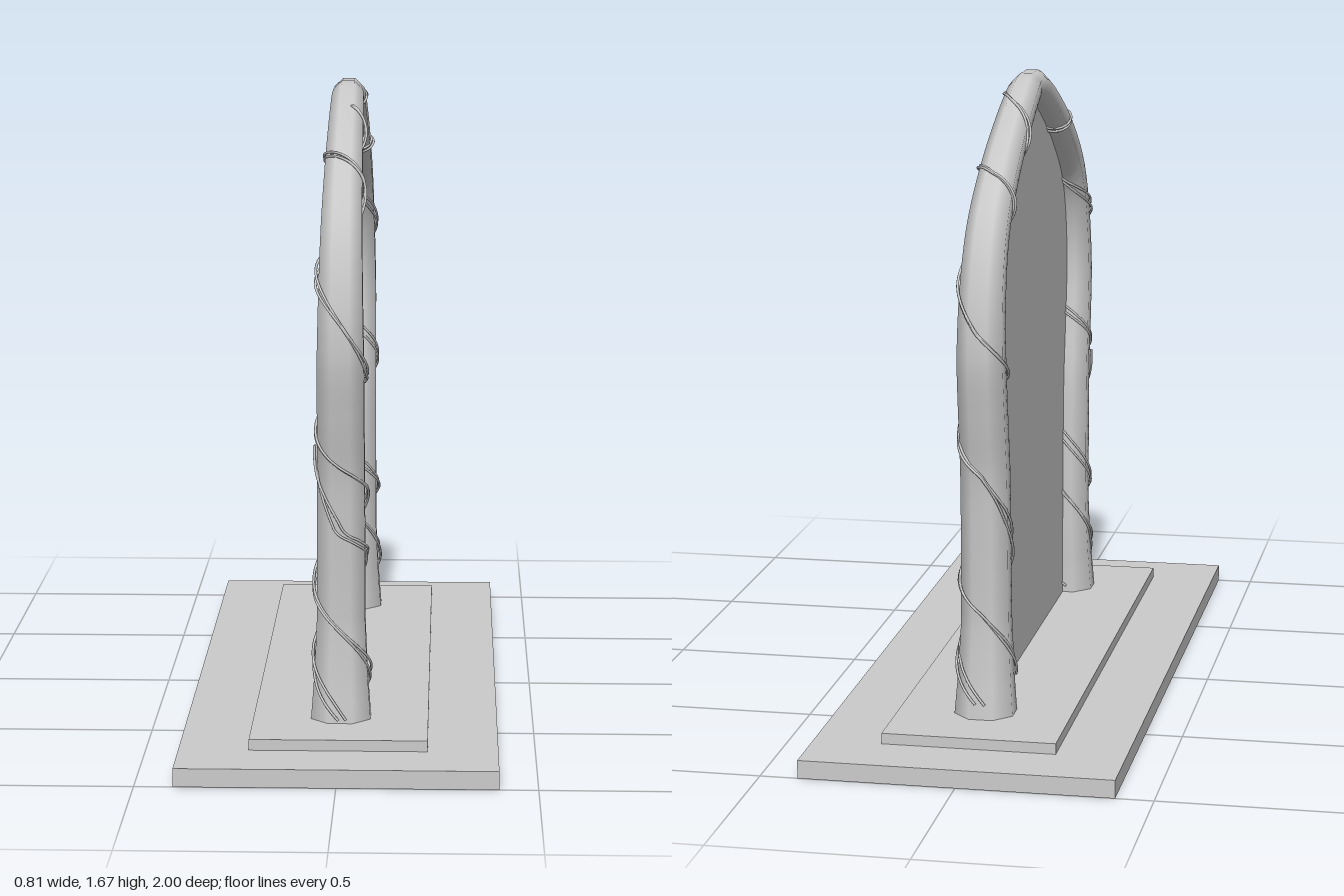
import * as THREE from 'three';
import { ParametricGeometry } from 'three/addons/geometries/ParametricGeometry.js';

const material = new THREE.MeshStandardMaterial({ color: 0xcccccc });
const thin = new THREE.MeshStandardMaterial({ color: 0xcccccc, side: THREE.DoubleSide });
const X = new THREE.Vector3(1, 0, 0);
const FOOT = 0.608; // distance of each pole foot from the middle
const SIDES = 8;

// Centre line of one arm as [z, y], foot to apex
const arm = [[FOOT, 0.07], [0.595, 0.3], [0.598, 0.55], [0.607, 0.72], [0.632, 0.87], [0.652, 1.02],
  [0.641, 1.15], [0.6, 1.27], [0.54, 1.355], [0.39, 1.468], [0.2, 1.568], [0.06, 1.624], [0, 1.633]];
const mirrored = arm.slice(0, -1).reverse().map(([z, y]) => [-z, y]);
const path = new THREE.CatmullRomCurve3(
  [...arm, ...mirrored].map(([z, y]) => new THREE.Vector3(0, y, z)));
const LENGTH = path.getLength();

// Straight-line interpolation through [key, value] pairs
function lerpTable(table, s) {
  let i = 1;
  while (i < table.length - 1 && s > table[i][0]) i++;
  const [a, va] = table[i - 1], [b, vb] = table[i];
  return va + (vb - va) * (s - a) / (b - a);
}

// Pole radius by distance from the foot
const radii = [[0, 0.083], [0.1, 0.075], [0.25, 0.067], [0.95, 0.064], [1.35, 0.055], [1.75, 0.048], [1.88, 0.045], [LENGTH / 2, 0.038]];
const radiusAt = u => lerpTable(radii, Math.min(u, 1 - u) * LENGTH);

// Point around the arch: u along it, angle from +x towards the outside
function aroundArch(u, angle, lift, target) {
  const n = new THREE.Vector3().crossVectors(X, path.getTangentAt(u));
  const r = radiusAt(u) + lift;
  return target.copy(path.getPointAt(u))
    .addScaledVector(X, r * Math.cos(angle)).addScaledVector(n, r * Math.sin(angle));
}

const rectangle = (w, d) => [[-w, -d], [w, -d], [w, d], [-w, d]].map(([x, y]) => new THREE.Vector2(x / 2, y / 2));

// Tray open below: a flat top with holes, and four thin walls
function tray(name, w, d, bottom, top, holes) {
  const group = new THREE.Group();
  group.name = name;
  const shape = new THREE.Shape(rectangle(w, d));
  shape.holes.push(...holes);
  const lid = new THREE.Mesh(new THREE.ShapeGeometry(shape), thin);
  lid.rotation.x = -Math.PI / 2;
  lid.position.y = top;
  group.add(lid);
  for (let i = 0; i < 4; i++) {
    const [length, reach] = i % 2 ? [d, w / 2] : [w, d / 2];
    const wall = new THREE.Mesh(new THREE.PlaneGeometry(length, top - bottom), thin);
    wall.rotation.y = i * Math.PI / 2;
    wall.position.set(Math.sin(wall.rotation.y) * reach, (top + bottom) / 2, Math.cos(wall.rotation.y) * reach);
    group.add(wall);
  }
  return group;
}

// Thin strand winding up one arm, given as [distance, turns from +x]
function vine(side, turns, strand) {
  const start = turns[0][0], end = turns[turns.length - 1][0];
  const steps = Math.ceil((end - start) * 65);
  const points = [];
  for (let i = 0; i <= steps; i++) {
    const s = start + (end - start) * i / steps;
    const u = side > 0 ? s / LENGTH : 1 - s / LENGTH;
    const drift = strand * (0.1 + 0.08 * Math.sin(s * 17));
    const angle = side * lerpTable(turns, s) * Math.PI * 2 + drift;
    points.push(aroundArch(u, angle, 0.002 + 0.003 * Math.sin(s * 23 + strand), new THREE.Vector3()));
  }
  const mesh = new THREE.Mesh(
    new THREE.TubeGeometry(new THREE.CatmullRomCurve3(points), steps * 2, 0.0035, 6), material);
  mesh.name = 'vine';
  return mesh;
}

export function createModel() {
  const group = new THREE.Group();

  // Stepped base, hollow below
  const opening = new THREE.Path(rectangle(0.45, 1.67).reverse());
  group.add(tray('lowerBase', 0.806, 2, 0, 0.047, [opening]));
  const corner = i => (i + 0.5) / SIDES * Math.PI * 2;
  const sockets = [1, -1].map(side => new THREE.Path(Array.from({ length: SIDES }, (_, i) =>
    new THREE.Vector2(0.081 * Math.cos(corner(-i)), side * FOOT + 0.081 * Math.sin(corner(-i))))));
  group.add(tray('upperBase', 0.45, 1.67, 0.047, 0.075, sockets));

  // Short collars under the pole feet
  for (const side of [1, -1]) {
    const collar = new THREE.Mesh(
      new THREE.CylinderGeometry(0.081, 0.081, 0.03, SIDES, 1, true, corner(0)), thin);
    collar.position.set(0, 0.06, side * FOOT);
    collar.name = 'collar';
    group.add(collar);
  }

  // Tapered eight-sided arch, open at both feet
  const arch = new THREE.Mesh(
    new ParametricGeometry((u, v, target) => aroundArch(u, corner(v * SIDES), 0, target), 100, SIDES), material);
  arch.name = 'arch';
  group.add(arch);

  // Flat panel filling the arch
  const outline = path.getSpacedPoints(90).map(p => new THREE.Vector2(-p.z, p.y));
  const panel = new THREE.Mesh(new THREE.ShapeGeometry(new THREE.Shape(outline)), thin);
  panel.rotation.y = Math.PI / 2;
  panel.name = 'panel';
  group.add(panel);

  // Paired vines: a long and a short one on each arm
  const vines = new THREE.Group();
  vines.name = 'vines';
  for (const strand of [-1, 1]) {
    vines.add(vine(1, [[0.03, -0.25], [0.13, 0], [0.24, 0.25], [0.35, 0.5], [0.6, 1], [0.68, 1.25],
      [0.76, 1.5], [0.91, 2], [1.04, 2.25], [1.16, 2.5], [1.42, 3], [1.68, 4], [1.73, 4.2]], strand));
    vines.add(vine(1, [[0.01, 0.24], [0.18, 0.5], [0.44, 1], [0.5, 1.25], [0.72, 1.5]], strand));
    vines.add(vine(-1, [[0.04, -0.25], [0.18, 0], [0.3, 0.25], [0.66, 0.75], [0.75, 1], [0.84, 1.25], [1.02, 1.75],
      [1.15, 2], [1.32, 2.25], [1.42, 2.75], [1.5, 3], [1.55, 3.25], [1.72, 3.75], [1.85, 4], [1.93, 4.25]], strand));
    vines.add(vine(-1, [[0.1, -0.6], [0.28, -0.25], [0.37, 0], [0.46, 0.25], [0.52, 0.4]], strand));
  }
  group.add(vines);
  return group;
}
